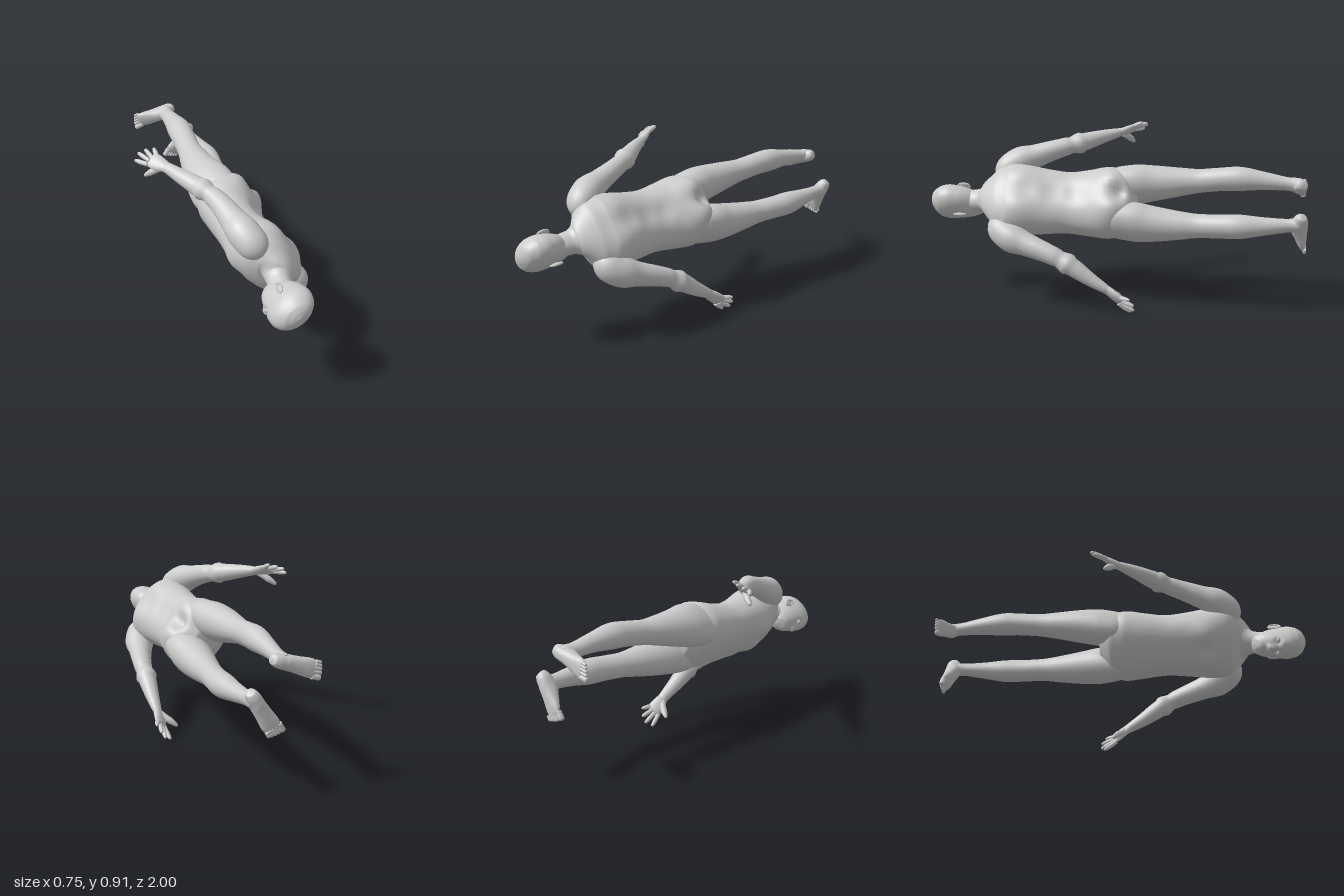
import * as THREE from 'three';

const skin = new THREE.MeshStandardMaterial({ color: 0xcccccc });
const V = (x, y, z) => new THREE.Vector3(x, y, z);

// Smooth closed skin through cross-sections [x, y, z, radiusA, radiusB].
// hint: direction of radiusA; power: 2 = ellipse, more = boxier.
// bumps: [x, y, z, radius, dx, dy, dz] soft pushes, mirrored in x.
function loft(name, rows, { hint = V(1, 0, 0), sides = 24, steps = 5, power = 2, bumps = [] } = {}) {
  const path = new THREE.CatmullRomCurve3(rows.map(r => V(r[0], r[1], r[2])));
  const radii = new THREE.CatmullRomCurve3(rows.map(r => V(r[3], r[4], 0)));
  const n = (rows.length - 1) * steps, points = [], index = [];
  const bend = v => Math.sign(v) * Math.abs(v) ** (2 / power);
  for (let i = 0; i <= n; i++) {
    const c = path.getPoint(i / n), r = radii.getPoint(i / n), t = path.getTangent(i / n);
    const a = hint.clone().addScaledVector(t, -t.dot(hint)).normalize();
    const b = t.clone().cross(a);
    for (let j = 0; j < sides; j++) {
      const q = (j / sides) * Math.PI * 2;
      points.push(c.clone().addScaledVector(a, bend(Math.cos(q)) * r.x).addScaledVector(b, bend(Math.sin(q)) * r.y));
      if (i === n) continue;
      const k = (j + 1) % sides, o = i * sides;
      index.push(o + j, o + k, o + sides + k, o + j, o + sides + k, o + sides + j);
    }
  }
  // end caps
  const first = points.length, end = n * sides;
  points.push(path.getPoint(0), path.getPoint(1));
  for (let j = 0; j < sides; j++) {
    const k = (j + 1) % sides;
    index.push(first, k, j, first + 1, end + j, end + k);
  }
  // soft sculpting
  for (const p of points) {
    const s = Math.sign(p.x), push = V(0, 0, 0);
    for (const [x, y, z, r, dx, dy, dz] of bumps) {
      const w = Math.exp(-V(Math.abs(p.x) - x, p.y - y, p.z - z).lengthSq() / (r * r));
      push.add(V(dx * s * w, dy * w, dz * w));
    }
    p.add(push);
  }
  const g = new THREE.BufferGeometry().setFromPoints(points);
  g.setIndex(index);
  g.computeVertexNormals();
  const mesh = new THREE.Mesh(g, skin);
  mesh.name = name;
  return mesh;
}

// Round-ended finger or toe from a to b
function digit(name, a, b, r0, r1, sag = 0) {
  const at = k => a.clone().lerp(b, k).add(V(0, sag * 4 * k * (1 - k), 0));
  const rows = [[0, r0], [0.3, r0 * 0.95], [0.55, r0], [0.85, r1], [0.96, r1 * 0.7], [1, r1 * 0.2]]
    .map(([k, r]) => [...at(k).toArray(), r, r]);
  return loft(name, rows, { hint: V(0.3, 0.1, 1), sides: 10, steps: 3 });
}

function ball(name, p, sx, sy, sz) {
  const m = new THREE.Mesh(new THREE.SphereGeometry(1, 20, 14), skin);
  m.name = name;
  m.position.set(...p);
  m.scale.set(sx, sy, sz);
  return m;
}

function makeHead() {
  const head = new THREE.Group();
  head.name = 'head';
  head.add(loft('skull', [
    [0, 0.722, 0.095, 0.015, 0.02], [0, 0.73, 0.09, 0.04, 0.047], [0, 0.757, 0.073, 0.06, 0.074],
    [0, 0.8, 0.056, 0.073, 0.096], [0, 0.85, 0.043, 0.081, 0.114], [0, 0.9, 0.036, 0.085, 0.12],
    [0, 0.945, 0.032, 0.077, 0.108], [0, 0.978, 0.03, 0.055, 0.078], [0, 0.994, 0.03, 0.028, 0.04],
    [0, 1, 0.03, 0.004, 0.006]], {
    sides: 64, steps: 9, bumps: [
      [0, 0.797, 0.155, 0.015, 0, 0, 0.032], [0, 0.818, 0.155, 0.014, 0, 0, 0.014],
      [0.014, 0.795, 0.15, 0.01, 0.003, 0, 0.01], [0.034, 0.845, 0.145, 0.02, 0, 0, -0.014],
      [0.03, 0.87, 0.15, 0.02, 0, 0, 0.004], [0.008, 0.768, 0.148, 0.012, 0, 0, 0.009],
      [0.006, 0.754, 0.142, 0.01, 0, 0, 0.008], [0, 0.73, 0.13, 0.02, 0, 0, 0.008]]
  }));
  for (const s of [1, -1]) {
    head.add(ball('eye', [s * 0.034, 0.846, 0.13], 0.017, 0.011, 0.013));
    const ear = new THREE.Group();
    ear.name = 'ear';
    const rim = new THREE.Mesh(new THREE.TorusGeometry(0.02, 0.006, 8, 24), skin);
    rim.name = 'earRim';
    rim.scale.set(0.85, 1.4, 1);
    ear.add(rim, ball('earInner', [0, 0, -0.004], 0.016, 0.027, 0.006), ball('earLobe', [0.004, -0.028, -0.002], 0.009, 0.01, 0.006));
    ear.position.set(s * 0.085, 0.835, 0.015);
    ear.rotation.y = s * 1.2;
    head.add(ear);
  }
  return head;
}

function makeTorso() {
  return loft('torsoAndNeck', [
    [0, -0.12, 0, 0.08, 0.06], [0, -0.06, -0.005, 0.17, 0.13], [0, 0.03, -0.01, 0.192, 0.15],
    [0, 0.13, 0, 0.18, 0.138], [0, 0.25, 0.005, 0.166, 0.13], [0, 0.36, 0, 0.175, 0.138],
    [0, 0.47, -0.01, 0.19, 0.146], [0, 0.56, -0.015, 0.2, 0.136], [0, 0.62, -0.02, 0.175, 0.112],
    [0, 0.665, -0.015, 0.118, 0.084], [0, 0.692, -0.003, 0.074, 0.067], [0, 0.72, 0.007, 0.06, 0.06],
    [0, 0.78, 0.02, 0.056, 0.056]], {
    sides: 56, steps: 6, power: 2.2, bumps: [
      [0.09, -0.01, -0.14, 0.08, 0, 0, -0.03], [0, -0.03, -0.15, 0.04, 0, 0, 0.04],
      [0, 0.2, -0.13, 0.05, 0, 0, 0.014], [0, 0.32, -0.14, 0.06, 0, 0, 0.014],
      [0, 0.45, -0.15, 0.06, 0, 0, 0.014], [0.1, 0.5, -0.14, 0.08, 0, 0, -0.014],
      [0.09, 0.46, 0.13, 0.07, 0, 0, 0.014], [0, 0.47, 0.14, 0.03, 0, 0, -0.01],
      [0, 0.13, 0.14, 0.012, 0, 0, -0.008]]
  });
}

function makeArm(s, side) {
  const arm = new THREE.Group();
  arm.name = side + 'Arm';
  arm.add(loft('upperArmAndForearm', [
    [s * 0.12, 0.6, -0.02, 0.055, 0.06], [s * 0.175, 0.585, -0.022, 0.075, 0.08], [s * 0.22, 0.53, -0.024, 0.078, 0.082],
    [s * 0.255, 0.45, -0.025, 0.062, 0.068], [s * 0.29, 0.36, -0.028, 0.053, 0.057], [s * 0.322, 0.28, -0.022, 0.048, 0.05],
    [s * 0.36, 0.2, 0, 0.048, 0.05], [s * 0.41, 0.11, 0.032, 0.037, 0.04], [s * 0.45, 0.03, 0.058, 0.025, 0.03],
    [s * 0.462, 0.005, 0.068, 0.02, 0.028]]));
  arm.add(loft('palm', [
    [s * 0.45, 0.03, 0.058, 0.024, 0.02], [s * 0.465, 0, 0.07, 0.034, 0.021], [s * 0.485, -0.03, 0.084, 0.042, 0.019],
    [s * 0.502, -0.055, 0.093, 0.042, 0.015], [s * 0.508, -0.064, 0.096, 0.032, 0.008]], { hint: V(s * 0.2, 0, 1) }));
  const fingers = [
    ['indexFinger', [0.507, -0.045, 0.125], [0.539, -0.11, 0.163]],
    ['middleFinger', [0.508, -0.055, 0.106], [0.545, -0.13, 0.126]],
    ['ringFinger', [0.502, -0.055, 0.086], [0.532, -0.13, 0.088]],
    ['littleFinger', [0.492, -0.045, 0.067], [0.515, -0.11, 0.05]]];
  for (const [name, a, b] of fingers)
    arm.add(digit(name, V(s * a[0], a[1], a[2]), V(s * b[0], b[1], b[2]), 0.0125, 0.01, 0.003));
  arm.add(digit('thumb', V(s * 0.462, 0, 0.082), V(s * 0.463, -0.055, 0.182), 0.018, 0.012, -0.006));
  return arm;
}

function makeLeg(s, side) {
  const leg = new THREE.Group();
  leg.name = side + 'Leg';
  leg.add(loft('thighAndCalf', [
    [s * 0.095, 0.06, -0.01, 0.07, 0.1], [s * 0.102, -0.03, -0.016, 0.09, 0.132], [s * 0.108, -0.11, -0.02, 0.098, 0.128],
    [s * 0.116, -0.2, -0.022, 0.092, 0.108], [s * 0.124, -0.34, -0.032, 0.074, 0.082], [s * 0.128, -0.45, -0.044, 0.061, 0.066],
    [s * 0.133, -0.55, -0.058, 0.06, 0.066], [s * 0.135, -0.64, -0.067, 0.062, 0.068], [s * 0.127, -0.78, -0.066, 0.046, 0.05],
    [s * 0.116, -0.9, -0.06, 0.034, 0.04], [s * 0.113, -0.945, -0.058, 0.036, 0.044], [s * 0.113, -0.975, -0.055, 0.03, 0.036]],
    { sides: 32 }));
  leg.add(loft('foot', [
    [s * 0.088, -0.966, -0.118, 0.008, 0.008], [s * 0.09, -0.964, -0.112, 0.024, 0.025], [s * 0.098, -0.96, -0.085, 0.034, 0.038],
    [s * 0.113, -0.955, -0.045, 0.037, 0.045], [s * 0.134, -0.966, 0.01, 0.041, 0.034], [s * 0.153, -0.978, 0.058, 0.046, 0.022],
    [s * 0.162, -0.985, 0.082, 0.042, 0.014], [s * 0.165, -0.987, 0.09, 0.034, 0.008]], { power: 2.3 }));
  ['bigToe', 'secondToe', 'thirdToe', 'fourthToe', 'littleToe'].forEach((name, i) => {
    const off = [-0.033, -0.01, 0.008, 0.024, 0.039][i], len = [0.05, 0.046, 0.042, 0.036, 0.03][i];
    const r = i ? 0.0105 - i * 0.0005 : 0.0155;
    const a = V(s * (0.16 + off * 0.92), -1 + r, 0.078 - off * 0.39);
    leg.add(digit(name, a, a.clone().add(V(s * len * 0.35, 0, len * 0.92)), r, r * 0.95));
  });
  return leg;
}

export function createModel() {
  const model = new THREE.Group();
  model.name = 'lyingFigure';
  const figure = new THREE.Group();
  figure.name = 'figure';
  figure.add(makeHead(), makeTorso());
  for (const [s, side] of [[1, 'left'], [-1, 'right']]) figure.add(makeArm(s, side), makeLeg(s, side));
  // lay the upright figure along z, rolled part way onto its front
  const across = V(0.62, -0.785, 0).normalize(), up = V(0, 0, 1);
  figure.quaternion.setFromRotationMatrix(new THREE.Matrix4().makeBasis(across, up, across.clone().cross(up)));
  figure.position.set(0.1, 0.53, 0);
  model.add(figure);
  return model;
}
